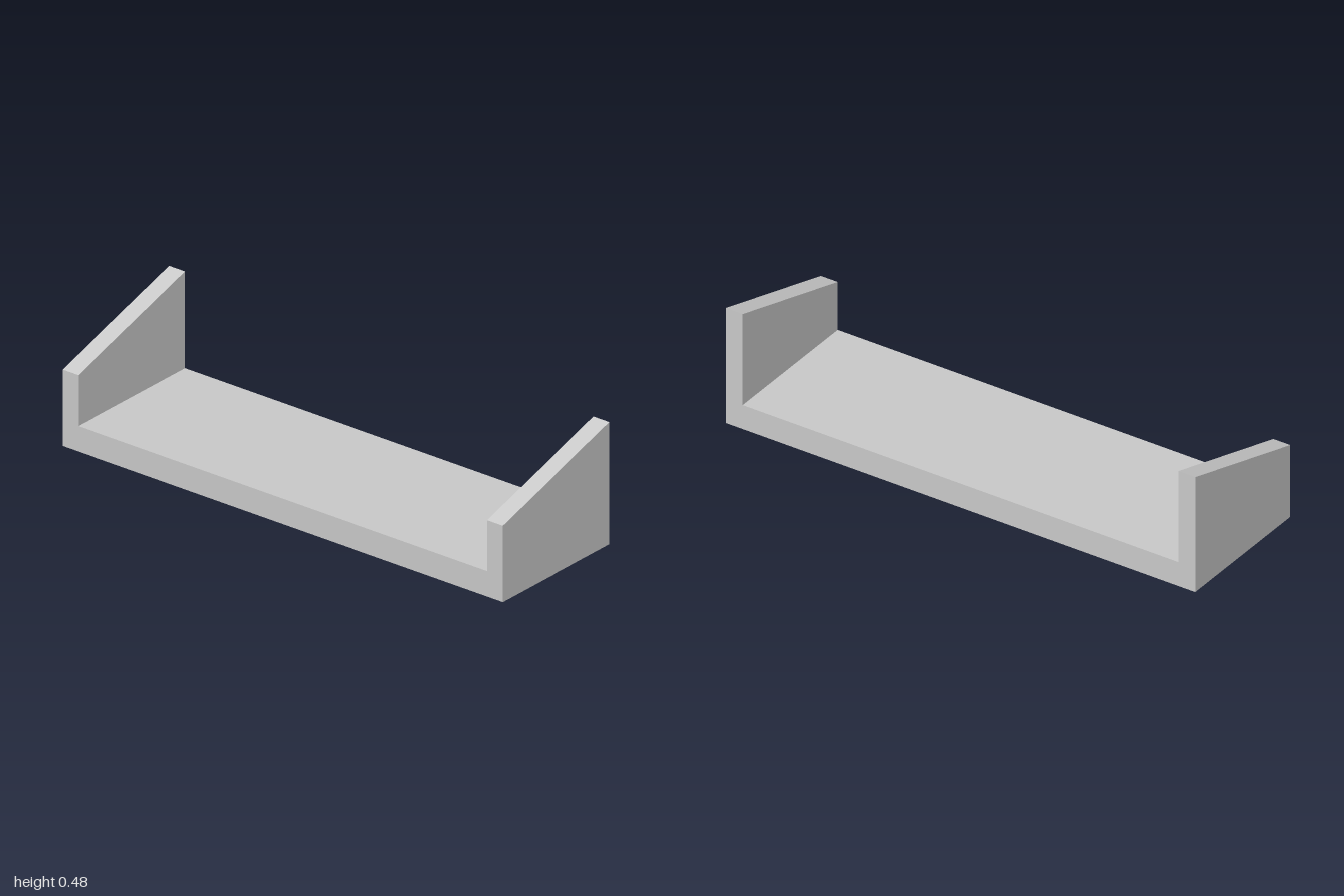
import * as THREE from 'three';

const WIDTH = 2, DEPTH = 0.6, FLOOR = 0.1, WALL = 0.072;
const FRONT_HEIGHT = 0.3, BACK_HEIGHT = 0.48;

export function createModel() {
  const group = new THREE.Group();
  group.name = 'openTray';
  const material = new THREE.MeshStandardMaterial({ color: 0xcccccc, flatShading: true });

  // Flat base slab between the end panels
  const base = new THREE.Mesh(new THREE.BoxGeometry(WIDTH - 2 * WALL, FLOOR, DEPTH), material);
  base.name = 'base';
  base.position.y = FLOOR / 2;
  group.add(base);

  // End panel: side profile (z, y) with a top edge rising to the back
  const profile = new THREE.Shape([
    new THREE.Vector2(-DEPTH / 2, 0),
    new THREE.Vector2(DEPTH / 2, 0),
    new THREE.Vector2(DEPTH / 2, FRONT_HEIGHT),
    new THREE.Vector2(-DEPTH / 2, BACK_HEIGHT),
  ]);
  const panelGeometry = new THREE.ExtrudeGeometry(profile, { depth: WALL, bevelEnabled: false });
  panelGeometry.translate(0, 0, -WALL / 2).rotateY(-Math.PI / 2);

  for (const [name, side] of [['leftEndPanel', 1], ['rightEndPanel', -1]]) {
    const panel = new THREE.Mesh(panelGeometry, material);
    panel.name = name;
    panel.position.x = side * (WIDTH - WALL) / 2;
    group.add(panel);
  }
  return group;
}
